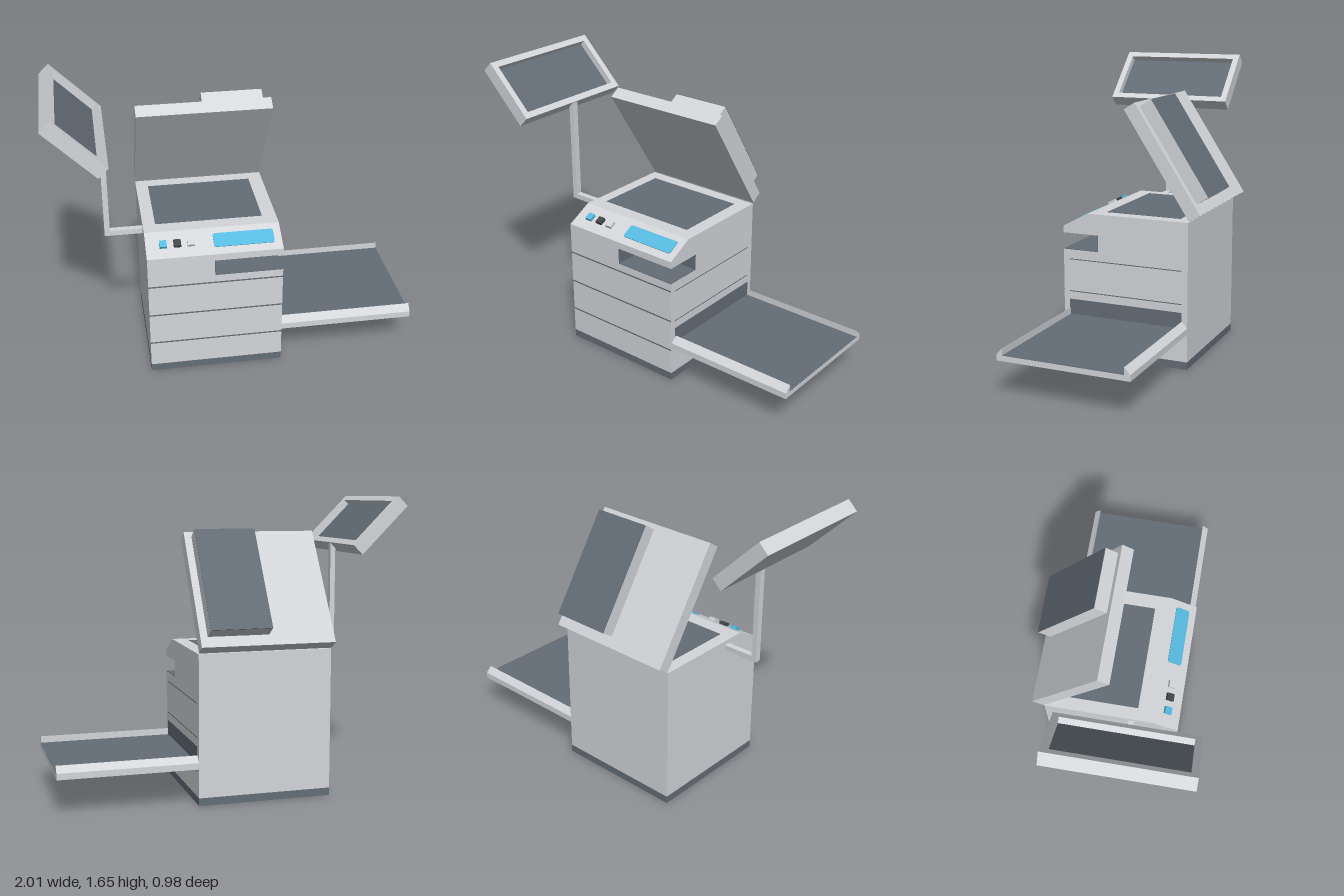
import * as THREE from 'three';

const mat = (name, color) => {
  const m = new THREE.MeshStandardMaterial({ color });
  m.name = name;
  return m;
};

export function createModel() {
  const light = mat('light grey casing', 0xd4d6da);
  const dark = mat('slate grey', 0x646d77);
  const blue = mat('display blue', 0x57bbe0);
  const black = mat('button charcoal', 0x45464c);

  const root = new THREE.Group();
  root.name = 'photocopier';

  const add = (parent, name, geometry, material) => {
    const mesh = new THREE.Mesh(geometry, material);
    mesh.name = name;
    parent.add(mesh);
    return mesh;
  };
  // Box given by its lower and upper limits on each axis
  const box = (parent, name, material, [x0, x1], [y0, y1], [z0, z1]) => {
    const g = new THREE.BoxGeometry(x1 - x0, y1 - y0, z1 - z0);
    g.translate((x0 + x1) / 2, (y0 + y1) / 2, (z0 + z1) / 2);
    return add(parent, name, g, material);
  };
  const polygon = (pts) => new THREE.Shape(pts.map(([a, b]) => new THREE.Vector2(a, b)));
  const extrude = (shape, depth) =>
    new THREE.ExtrudeGeometry(shape, { depth, bevelEnabled: false, curveSegments: 5 });
  // Side profile in (z, y) stretched from x0 to x1
  const prismX = (parent, name, material, pts, x0, x1) =>
    add(parent, name, extrude(polygon(pts), x1 - x0).rotateY(-Math.PI / 2).translate(x1, 0, 0), material);

  // Cabinet: right portion has the output recess cut from its front corner
  const L = -0.51, R = 0.24, F = 0.365, B = -0.385, N = -0.14;
  const top = [[F, 0.75], [0.215, 0.83], [B, 0.83]];
  prismX(root, 'cabinetLeft', light, [[B, 0.045], [F, 0.045], ...top], L, N);
  prismX(root, 'cabinetRight', light,
    [[B, 0.045], [F, 0.045], [F, 0.615], [0.15, 0.615], [0.15, 0.71], [F, 0.71], ...top], N, R);
  box(root, 'base', dark, [L, R], [0.002, 0.045], [B, F]);
  box(root, 'basePlate', light, [L + 0.015, R - 0.015], [0, 0.002], [B + 0.015, F - 0.015]);

  // Dark lining of the output recess
  box(root, 'recessBack', dark, [N, R], [0.615, 0.71], [0.15, 0.154]);
  box(root, 'recessSide', dark, [N, N + 0.004], [0.615, 0.71], [0.15, F - 0.001]);
  box(root, 'recessFloor', dark, [N, R - 0.001], [0.615, 0.618], [0.15, F - 0.001]);

  // Drawer seams on the front and right faces
  for (const y of [0.195, 0.382, 0.569]) {
    box(root, 'frontSeam', dark, [L, R], [y - 0.004, y + 0.004], [F - 0.001, F + 0.001]);
    box(root, 'sideSeam', dark, [R - 0.001, R + 0.001], [y - 0.012, y - 0.007], [-0.35, 0.33]);
  }

  // Scanning glass
  box(root, 'scannerGlass', dark, [-0.44, 0.16], [0.83, 0.832], [-0.31, 0.13]);

  // Sloping control panel with buttons and display
  const panel = new THREE.Group();
  panel.name = 'controlPanel';
  panel.position.set(0, 0.79, 0.29);
  panel.rotation.x = Math.atan2(0.08, 0.15);
  root.add(panel);
  [[-0.415, blue], [-0.337, black], [-0.262, light]].forEach(([x, m]) =>
    box(panel, 'button', m, [x - 0.02, x + 0.02], [0, 0.018], [-0.02, 0.022]));
  const [dx, dz, r] = [0.168, 0.043, 0.014];
  const display = new THREE.Shape();
  [[dx - r, dz - r, 0], [r - dx, dz - r, 1], [r - dx, r - dz, 2], [dx - r, r - dz, 3]].forEach(([x, y, q]) =>
    display.absarc(x, y, r, q * Math.PI / 2, (q + 1) * Math.PI / 2, false));
  add(panel, 'display', extrude(display, 0.004).rotateX(-Math.PI / 2).translate(0.03, 0, -0.003), blue);

  // Paper tray with chamfered side rails, and the slot above it
  prismX(root, 'paperTray', light, [
    [B, 0.205], [0.36, 0.205], [0.36, 0.24], [0.325, 0.275],
    [0.325, 0.235], [-0.352, 0.235], [-0.352, 0.275], [B, 0.24],
  ], R, 1);
  box(root, 'trayBed', dark, [R, 1], [0.235, 0.237], [-0.352, 0.325]);
  box(root, 'traySlot', dark, [R, R + 0.003], [0.235, 0.325], [-0.352, 0.33]);

  // Open lid, hinged at the back edge: local z runs up the lid, local y out of its back
  const lid = new THREE.Group();
  lid.name = 'lid';
  lid.position.set(0, 0.835, -0.39);
  lid.rotation.x = -Math.atan2(0.838, 0.545);
  root.add(lid);
  box(lid, 'lidPanel', light, [L, R], [0, 0.073], [0, 0.698]);
  box(lid, 'documentFeeder', light, [N, 0.2], [0.073, 0.15], [0.061, 0.669]);
  box(lid, 'feederCover', dark, [N, 0.2], [0.15, 0.153], [0.061, 0.669]);

  // Bent arm holding the monitor
  const arm = polygon([[-0.51, 0.775], [-0.72, 0.775], [-0.72, 1.35], [-0.69, 1.38], [-0.69, 0.805], [-0.51, 0.805]]);
  add(root, 'monitorArm', extrude(arm, 0.035).translate(0, 0, 0.087), light);

  // Tilted monitor: local x runs up its face, local y faces out of the screen
  const monitor = new THREE.Group();
  monitor.name = 'monitor';
  monitor.position.set(-0.685, 1.385, 0.1125);
  monitor.rotation.z = Math.PI * 0.75;
  root.add(monitor);
  // After the turn, local -y points out of the screen
  const len = 0.379, half = 0.378, depth = 0.076, rim = 0.036, sunk = 0.04;
  const frame = polygon([[0, -half], [len, -half], [len, half], [0, half]]);
  frame.holes.push(polygon([
    [rim, rim - half], [rim, half - rim], [len - rim, half - rim], [len - rim, rim - half],
  ]));
  add(monitor, 'monitorFrame', extrude(frame, sunk).rotateX(Math.PI / 2).translate(0, sunk, 0), light);
  box(monitor, 'monitorBack', light, [0, len], [sunk, depth], [-half, half]);
  box(monitor, 'monitorScreen', dark, [rim, len - rim], [sunk - 0.003, sunk], [rim - half, half - rim]);

  return root;
}
